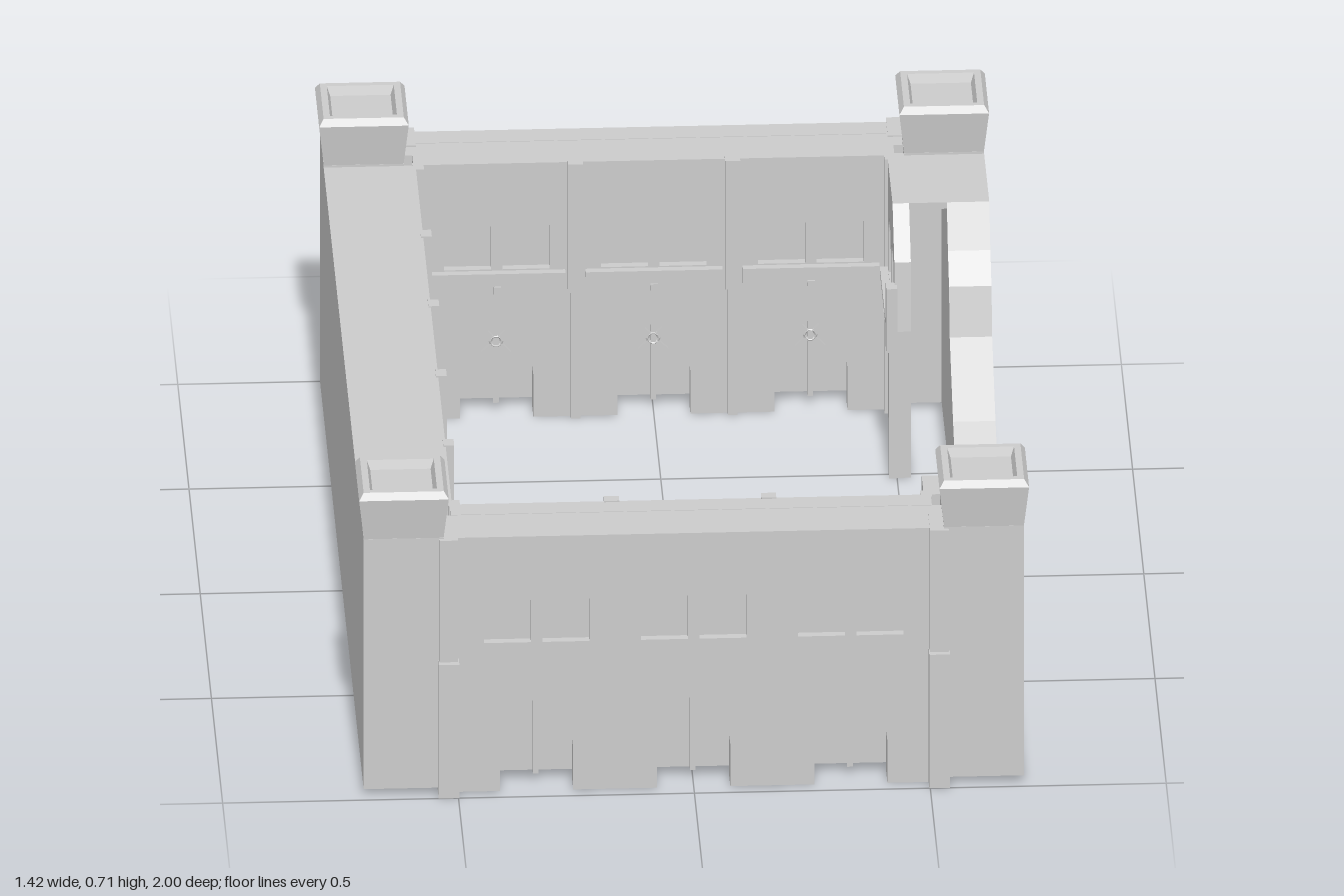
import * as THREE from 'three';

const mat = new THREE.MeshStandardMaterial({ color: 0xcccccc, flatShading: true, side: THREE.DoubleSide });
const H = 0.6, BAY = 0.333, ARCH = 0.0775, WIN = 0.05;

function add(parent, name, geo, x = 0, y = 0, z = 0) {
  const m = new THREE.Mesh(geo, mat);
  m.name = name;
  m.position.set(x, y, z);
  parent.add(m);
  return m;
}

// Box given by its min and max on each axis
function box(parent, name, x0, x1, y0, y1, z0, z1) {
  return add(parent, name, new THREE.BoxGeometry(x1 - x0, y1 - y0, z1 - z0),
    (x0 + x1) / 2, (y0 + y1) / 2, (z0 + z1) / 2);
}

function group(parent, name, x = 0, z = 0, turn = 0) {
  const g = new THREE.Group();
  g.name = name;
  g.position.set(x, 0, z);
  g.rotation.y = turn;
  parent.add(g);
  return g;
}

function windowPath(c) {
  const p = new THREE.Path();
  p.moveTo(c - WIN, 0.35);
  p.lineTo(c + WIN, 0.35);
  p.lineTo(c + WIN, 0.445);
  p.absarc(c, 0.445, WIN, 0, Math.PI, false);
  p.lineTo(c - WIN, 0.35);
  return p;
}

// Wall plate with pointed arches cut from its foot and round-headed windows; its face is at z = 0
function facade(parent, u0, u1, arches, windows, top, depth) {
  const s = new THREE.Shape();
  s.moveTo(u0, 0);
  for (const c of arches) {
    s.lineTo(c - ARCH, 0);
    s.lineTo(c - ARCH, 0.1);
    s.quadraticCurveTo(c - ARCH + 0.005, 0.178, c, 0.217);
    s.quadraticCurveTo(c + ARCH - 0.005, 0.178, c + ARCH, 0.1);
    s.lineTo(c + ARCH, 0);
  }
  s.lineTo(u1, 0);
  for (const [u, y] of top) s.lineTo(u, y);
  s.holes = windows.map(windowPath);
  const geo = new THREE.ExtrudeGeometry(s, { depth, bevelEnabled: false, curveSegments: 8 });
  add(parent, 'archedWall', geo, 0, 0, -depth);
  for (const c of windows) box(parent, 'windowPanel', c - 0.055, c + 0.055, 0.345, 0.5, -0.03, -0.018);
}

const pairs = (centres) => centres.flatMap((c) => [c - 0.062, c + 0.062]);

// Mullion with a small four-petal rosette in the arch head
function tracery(parent, c, z) {
  box(parent, 'mullion', c - 0.006, c + 0.006, 0.02, 0.21, z - 0.008, z + 0.008);
  add(parent, 'rosetteHub', new THREE.TorusGeometry(0.012, 0.004, 4, 10), c, 0.165, z + 0.006);
  for (let i = 0; i < 4; i++) {
    const a = Math.PI / 4 + (i * Math.PI) / 2;
    const petal = add(parent, 'rosettePetal', new THREE.BoxGeometry(0.03, 0.009, 0.01),
      c + 0.026 * Math.cos(a), 0.165 + 0.026 * Math.sin(a), z + 0.004);
    petal.rotation.z = a;
  }
}

// String course with a small boss
function ledge(parent, c, half = 0.15) {
  box(parent, 'ledge', c - half, c + half, 0.31, 0.345, -0.005, 0.012);
  box(parent, 'ledgeLip', c - half, c + half, 0.335, 0.347, -0.005, 0.017);
  box(parent, 'ledgeBoss', c - 0.008, c + 0.008, 0.297, 0.315, 0, 0.016);
}

function pilaster(parent, u, h = 0.603) {
  box(parent, 'pilasterShaft', u - 0.01, u + 0.01, 0, Math.min(h, 0.31), -0.005, 0.012);
  if (h > 0.4) box(parent, 'pilasterUpper', u - 0.016, u + 0.016, 0.3, h, -0.005, 0.018);
}

function courtFace(parent, half, centres) {
  facade(parent, -half, half, centres, pairs(centres), [[half, H], [-half, H]], 0.05);
  centres.forEach((c, i) => {
    ledge(parent, c, 0.145);
    tracery(parent, c, -0.038);
    if (i) pilaster(parent, c - BAY / 2);
  });
}

// End wall, arched on both faces
function endWall(root, name, turn) {
  const g = group(root, name, 0, 0, turn);
  const centres = [-BAY, 0, BAY];
  const outer = group(g, 'outerFace', 0, 0.97);
  facade(outer, -0.53, 0.53, centres, pairs(centres), [[0.53, H], [-0.53, H]], 0.055);
  for (const c of centres) box(outer, 'doorBar', c - 0.006, c + 0.006, 0.02, 0.21, -0.055, -0.04);
  box(g, 'wallCore', -0.53, 0.53, 0.022, 0.599, 0.86, 0.916);
  courtFace(group(g, 'courtFace', 0, 0.81, Math.PI), 0.51, centres);
  for (const s of [-1, 1]) {
    const x = s * 0.52;
    box(g, 'buttressLower', x - 0.022, x + 0.022, 0, 0.315, 0.9, 1.0);
    box(g, 'buttressUpper', x - 0.02, x + 0.02, 0.315, 0.602, 0.9, 0.987);
    box(g, 'cornerShaft', s * 0.5 - 0.012, s * 0.5 + 0.012, 0, H, 0.79, 0.82);
  }
}

// Corner tower with a flared cap that is sunk in the middle
function tower(root, sx, sz) {
  const g = group(root, 'cornerTower', sx * 0.615, sz * 0.893);
  box(g, 'towerBody', -0.085, 0.085, 0.015, 0.605, -0.085, 0.085);
  const profile = [[0.084, 0.6], [0.095, 0.7], [0.085, 0.715], [0.071, 0.715], [0.064, 0.695], [0, 0.695]];
  const geo = new THREE.LatheGeometry(
    profile.map(([r, y]) => new THREE.Vector2(r * Math.SQRT2, y)), 4, Math.PI / 4);
  add(g, 'towerCap', geo);
}

// Long left wall with five bays on the court side
function leftWall(root) {
  const g = group(root, 'leftWall');
  const centres = [-2, -1, 0, 1, 2].map((k) => k * BAY - 0.02);
  box(g, 'outerSlab', -0.7, -0.61, 0.015, H, -0.81, 0.81);
  box(g, 'wallTop', -0.7, -0.51, 0.585, H, -0.81, 0.81);
  box(g, 'nichePanel', -0.57, -0.552, 0.022, 0.59, -0.81, 0.81);
  courtFace(group(g, 'courtFace', -0.505, 0, Math.PI / 2), 0.81, centres);
}

// Breached right wall: outer slab with a ragged gap and two remnants of the court face
function rightWall(root) {
  const g = group(root, 'breachedWall');
  const gap = [[0.73, 0.6], [0.67, 0.45], [0.65, 0.39], [0.54, 0.3], [0.435, 0.19], [0.33, 0.13],
    [-0.135, 0.107], [-0.3, 0.22], [-0.45, 0.345], [-0.48, 0.45], [-0.53, 0.51], [-0.58, 0.6]];
  const outline = [[-0.81, 0.015], [0.81, 0.015], [0.81, H], ...gap, [-0.81, H]];
  const s = new THREE.Shape(outline.map(([z, y]) => new THREE.Vector2(z, y)));
  const slab = add(g, 'outerSlab', new THREE.ExtrudeGeometry(s, { depth: 0.09, bevelEnabled: false }), 0.7);
  slab.rotation.y = -Math.PI / 2;
  box(g, 'wallTop', 0.505, 0.7, 0.585, H, -0.81, -0.58);
  box(g, 'wallTop', 0.505, 0.7, 0.585, H, 0.73, 0.81);

  const face = group(g, 'courtFaceRemnants', 0.495, 0, -Math.PI / 2);
  facade(face, -0.82, -0.482, [-0.647], pairs([-0.647]),
    [[-0.482, 0.345], [-0.5, 0.5], [-0.58, H], [-0.82, H]], 0.035);
  facade(face, 0.478, 0.81, [0.687], [0.749],
    [[0.81, H], [0.72, H], [0.66, 0.42], [0.575, 0.345], [0.478, 0.345]], 0.035);
  ledge(face, -0.647, 0.145);
  ledge(face, 0.675, 0.135);
  pilaster(face, -0.49, 0.45);
  pilaster(face, 0.49, 0.33);
}

export function createModel() {
  const root = new THREE.Group();
  root.name = 'ruinedCourtyard';
  endWall(root, 'frontWall', 0);
  endWall(root, 'backWall', Math.PI);
  leftWall(root);
  rightWall(root);
  for (const sx of [-1, 1]) for (const sz of [-1, 1]) tower(root, sx, sz);
  return root;
}
